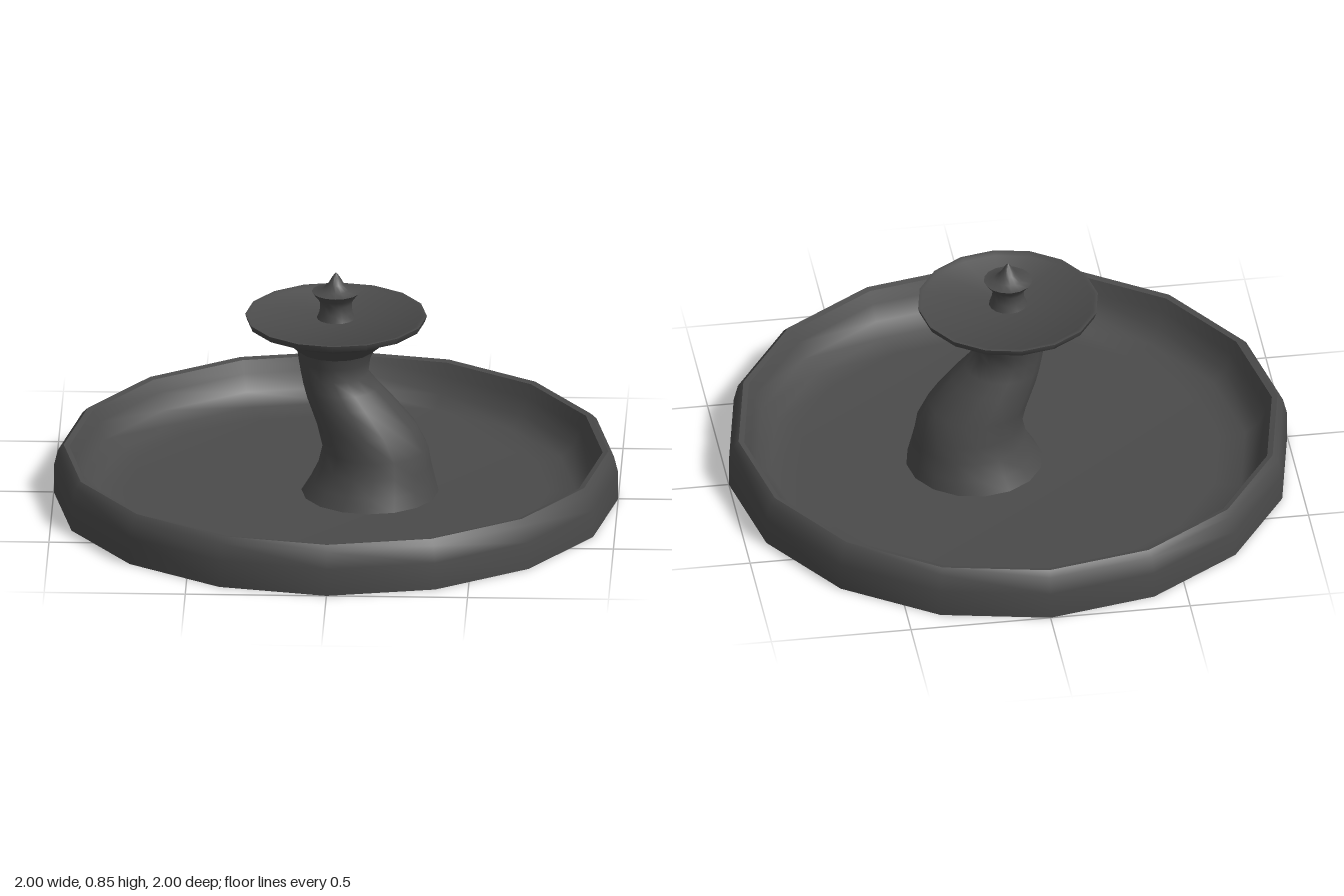
import * as THREE from 'three';
import { toCreasedNormals } from 'three/addons/utils/BufferGeometryUtils.js';

const SIDES = 16;

export function createModel() {
  const group = new THREE.Group();
  const darkGrey = new THREE.MeshStandardMaterial({ color: 0x4b4b4b, side: THREE.DoubleSide });
  darkGrey.name = 'darkGrey';

  // Turned part; each profile point is [radius, y, optional sideways shift in x]
  function turned(name, profile) {
    const geo = new THREE.LatheGeometry(profile.map(([r, y]) => new THREE.Vector2(r, y)), SIDES);
    const pos = geo.attributes.position;
    for (let i = 0; i < pos.count; i++) {
      pos.setX(i, pos.getX(i) + (profile[i % profile.length][2] || 0));
    }
    const mesh = new THREE.Mesh(toCreasedNormals(geo, 0.9), darkGrey);
    mesh.name = name;
    group.add(mesh);
  }

  // Open-bottomed basin: outer wall, rounded rim, inner wall and floor
  turned('basin', [
    [1, 0], [1, 0.1], [0.985, 0.16], [0.965, 0.18], [0.945, 0.175],
    [0.925, 0.13], [0.9, 0.07], [0.85, 0.03], [0.75, 0.022], [0, 0.022],
  ]);

  // Leaning stem that flares into its foot
  turned('stem', [
    [0.245, 0.018, 0.12], [0.222, 0.07, 0.13], [0.2, 0.13, 0.138], [0.188, 0.19, 0.14],
    [0.177, 0.27, 0.11], [0.152, 0.37, 0.05], [0.135, 0.42, 0.02], [0.12, 0.47, -0.005],
    [0.127, 0.52, -0.006], [0.138, 0.56, 0],
  ]);

  // Upper dish, growing out of the stem
  turned('upperDish', [
    [0.138, 0.56], [0.19, 0.605], [0.25, 0.637], [0.315, 0.662],
    [0.322, 0.684], [0.31, 0.684], [0.3, 0.676], [0, 0.674],
  ]);

  // Pointed finial on the dish
  turned('finial', [
    [0.068, 0.674], [0.058, 0.7], [0.056, 0.73], [0.066, 0.75], [0.086, 0.774],
    [0.05, 0.782], [0.028, 0.803], [0.014, 0.828], [0, 0.846],
  ]);

  return group;
}
